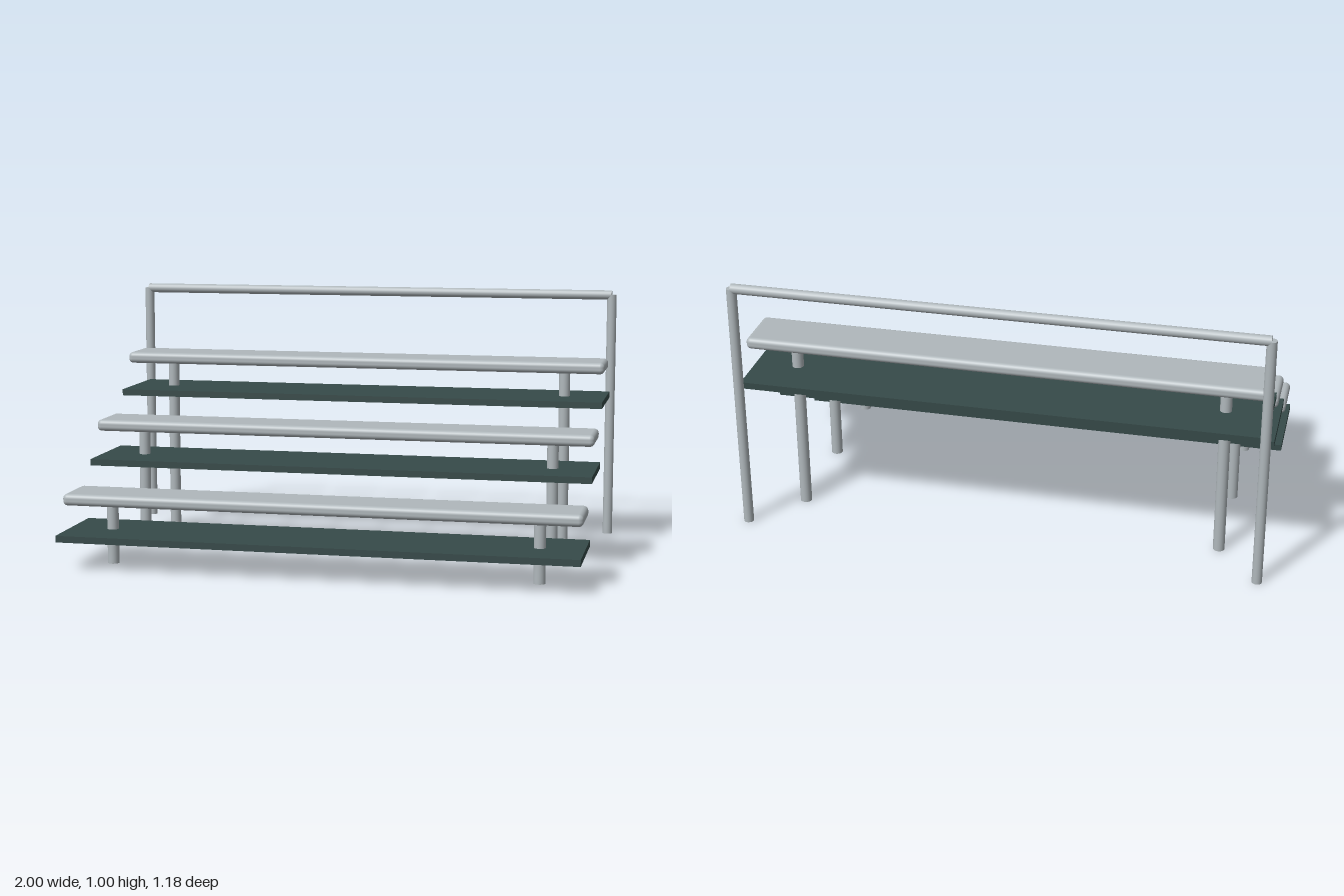
import * as THREE from 'three';
import { RoundedBoxGeometry } from 'three/addons/geometries/RoundedBoxGeometry.js';

const ROWS = 3;
const LENGTH = 1.96;
const STEP_UP = 0.2285;
const STEP_BACK = 0.393;

export function createModel() {
  const steel = new THREE.MeshStandardMaterial({ color: 0xb0b8bc });
  steel.name = 'galvanised steel';
  const board = new THREE.MeshStandardMaterial({ color: 0x364a49 });
  board.name = 'dark green board';

  const model = new THREE.Group();
  model.name = 'bleachers';

  function add(parent, name, geometry, material, x, y, z) {
    const mesh = new THREE.Mesh(geometry, material);
    mesh.name = name;
    mesh.position.set(x, y, z);
    parent.add(mesh);
    return mesh;
  }

  // Tiers: a seat plank on two posts that pass through a foot board
  const seatGeometry = new RoundedBoxGeometry(LENGTH, 0.045, 0.208, 4, 0.018);
  const footGeometry = new THREE.BoxGeometry(LENGTH, 0.025, 0.358);
  for (let i = 0; i < ROWS; i++) {
    const tier = new THREE.Group();
    tier.name = 'tier' + (i + 1);
    const z = 0.413 - i * STEP_BACK;
    const rise = i * STEP_UP;
    add(tier, 'seat', seatGeometry, steel, 0, 0.255 + rise, z);
    add(tier, 'footBoard', footGeometry, board, 0, 0.12 + rise, z);
    const height = 0.24 + rise;
    const postGeometry = new THREE.CylinderGeometry(0.022, 0.022, height, 20);
    for (const side of [-1, 1]) {
      add(tier, side > 0 ? 'leftPost' : 'rightPost', postGeometry, steel, side * 0.815, height / 2, z);
    }
    model.add(tier);
  }

  // Back guard rail: two tall uprights and a top bar
  const guard = new THREE.Group();
  guard.name = 'guardRail';
  const railZ = -0.569;
  const uprightGeometry = new THREE.CylinderGeometry(0.019, 0.019, 0.982, 20);
  for (const side of [-1, 1]) {
    add(guard, side > 0 ? 'leftUpright' : 'rightUpright', uprightGeometry, steel, side * 0.981, 0.491, railZ);
  }
  const bar = add(guard, 'topBar', new THREE.CylinderGeometry(0.019, 0.019, 1.962, 20), steel, 0, 0.981, railZ);
  bar.rotation.z = Math.PI / 2;
  model.add(guard);

  return model;
}
